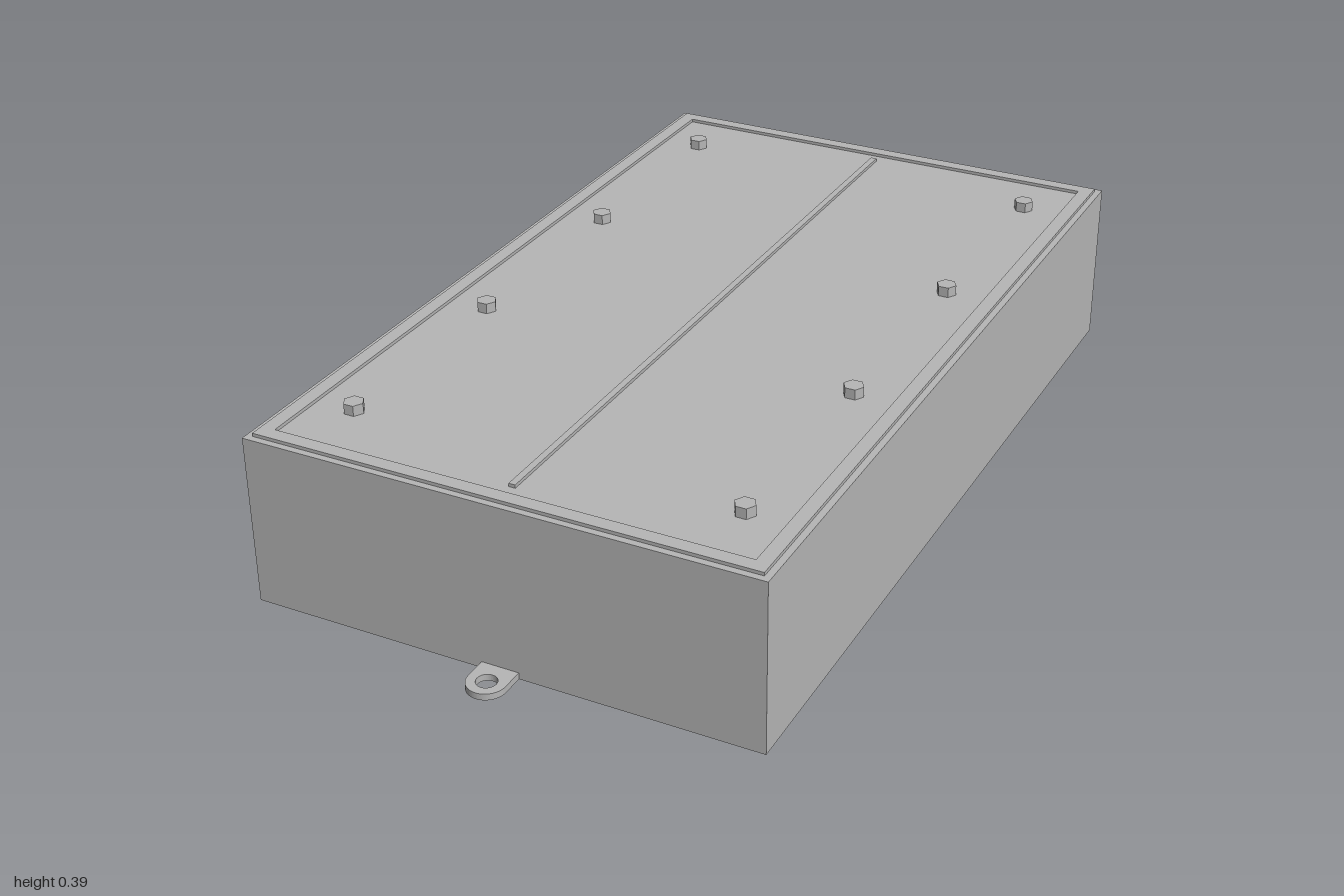
import * as THREE from 'three';

const grey = new THREE.MeshStandardMaterial({ color: 0xb6b6b6 });
grey.name = 'grey metal';

function add(parent, name, geometry, x = 0, y = 0, z = 0) {
  const mesh = new THREE.Mesh(geometry, grey);
  mesh.name = name;
  mesh.position.set(x, y, z);
  parent.add(mesh);
  return mesh;
}

// Extrude a plan shape upwards (shape y becomes -z)
function slab(shape, depth) {
  const g = new THREE.ExtrudeGeometry(shape, { depth, bevelEnabled: false, curveSegments: 16 });
  return g.rotateX(-Math.PI / 2);
}

function rectangle(target, w, d) {
  target.moveTo(-w, -d);
  target.lineTo(w, -d);
  target.lineTo(w, d);
  target.lineTo(-w, d);
  target.closePath();
  return target;
}

export function createModel() {
  const model = new THREE.Group();
  model.name = 'enclosure';
  const top = 0.365, lip = 0.007;

  // Main case
  add(model, 'case', new THREE.BoxGeometry(1.092, top, 1.824), 0, top / 2, 0);

  // Raised border around the lid, leaving a shallow recess
  const border = rectangle(new THREE.Shape(), 0.532, 0.898);
  border.holes.push(rectangle(new THREE.Path(), 0.502, 0.868));
  add(model, 'lidBorder', slab(border, lip), 0, top, 0);

  // Long rib down the middle of the lid
  add(model, 'centreRib', new THREE.BoxGeometry(0.014, lip, 1.68), 0, top + lip / 2, 0);

  // Two rows of hexagonal bolt heads, corners pointing sideways
  const bolt = new THREE.CylinderGeometry(0.0215, 0.0215, 0.022, 6).rotateY(Math.PI / 6).toNonIndexed();
  bolt.computeVertexNormals();
  for (const x of [-0.416, 0.416])
    for (const z of [-0.732, -0.248, 0.248, 0.732])
      add(model, 'bolt', bolt, x, top + 0.011, z);

  // Mounting ears with a screw hole, front and back
  const ear = new THREE.Shape();
  ear.moveTo(-0.04, 0.9);
  ear.lineTo(0.04, 0.9);
  ear.lineTo(0.04, 0.96);
  ear.absarc(0, 0.96, 0.04, 0, Math.PI, false);
  ear.closePath();
  const hole = new THREE.Path();
  hole.absarc(0, 0.96, 0.021, 0, Math.PI * 2, true);
  ear.holes.push(hole);
  const earGeometry = slab(ear, 0.014);
  add(model, 'backEar', earGeometry);
  add(model, 'frontEar', earGeometry).rotation.y = Math.PI;

  return model;
}
